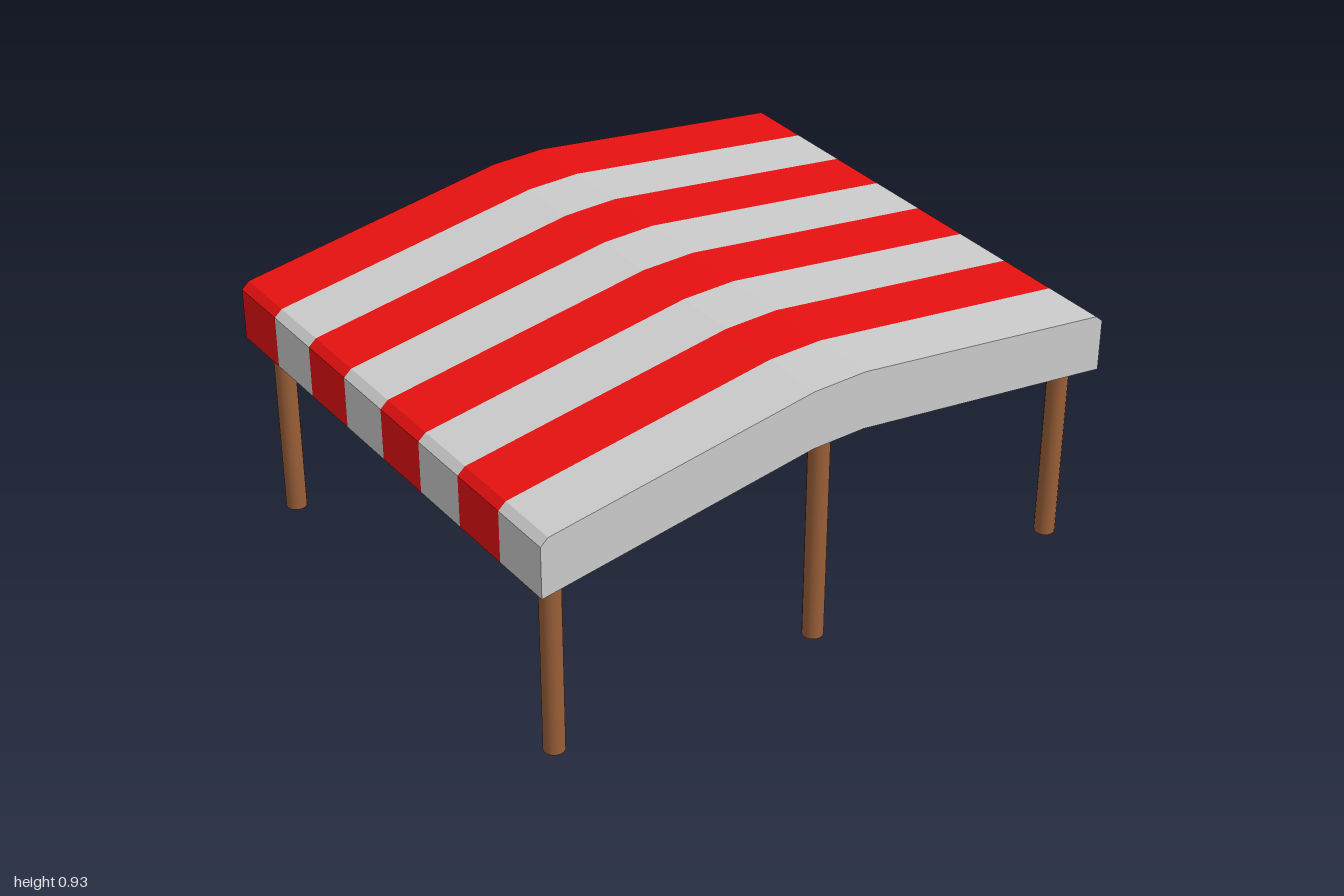
import * as THREE from 'three';

const DEPTH = 1.65, STRIPES = 8, WALL = 0.02, ROOF = 0.03;

const grey = new THREE.MeshStandardMaterial({ color: 0xcccccc });
const red = new THREE.MeshStandardMaterial({ color: 0xe81010 });
const wood = new THREE.MeshStandardMaterial({ color: 0x9a5f38 });

// Right half of the outer roof line, from the eave to the flat ridge
const roofLine = [[1, 0.775], [0.975, 0.797], [0.09, 0.925]];
const hemAt = (x) => 0.605 + (1 - x) * (0.13 / 0.91);
const ceilingAt = (x) => 0.925 - ROOF - Math.max(0, x - 0.09) * (0.128 / 0.885);

// Closes a right half-outline with its mirror image
function mirroredShape(half) {
  const left = half.map(([x, y]) => [-x, y]).reverse();
  return new THREE.Shape([...half, ...left].map(([x, y]) => new THREE.Vector2(x, y)));
}

// Roof section with hanging side walls and two inner valances beside the ridge
const stripeShape = mirroredShape([
  [0.07, ceilingAt(0)], [0.07, 0.735], [0.09, 0.735], [0.09, ceilingAt(0.09)],
  [1 - WALL, ceilingAt(1 - WALL)], [1 - WALL, hemAt(1 - WALL)], [1, hemAt(1)],
  ...roofLine,
]);

// Solid gable panel closing the front and back
const gableShape = mirroredShape([[0.09, 0.735], [1, hemAt(1)], ...roofLine]);

function slab(name, shape, z0, z1, material) {
  const geometry = new THREE.ExtrudeGeometry(shape, { depth: z1 - z0, bevelEnabled: false });
  geometry.translate(0, 0, z0);
  const mesh = new THREE.Mesh(geometry, material);
  mesh.name = name;
  return mesh;
}

export function createModel() {
  const model = new THREE.Group();
  model.name = 'stripedCanopy';

  // Striped roof, running from the red back to the grey front
  const canopy = new THREE.Group();
  canopy.name = 'canopy';
  const half = DEPTH / 2, width = DEPTH / STRIPES;
  for (let i = 0; i < STRIPES; i++) {
    const z0 = Math.max(-half + i * width, -half + WALL);
    const z1 = Math.min(-half + (i + 1) * width, half - WALL);
    canopy.add(slab('roofStripe', stripeShape, z0, z1, i % 2 ? grey : red));
  }
  canopy.add(slab('backGable', gableShape, -half, -half + WALL, red));
  canopy.add(slab('frontGable', gableShape, half - WALL, half, grey));
  model.add(canopy);

  // Six round posts reaching up to the ceiling
  for (const x of [-0.92, 0, 0.92]) {
    const height = ceilingAt(Math.abs(x)) + 0.008;
    for (const z of [-0.74, 0.74]) {
      const post = new THREE.Mesh(new THREE.CylinderGeometry(0.033, 0.033, height, 16), wood);
      post.position.set(x, height / 2, z);
      post.name = 'post';
      model.add(post);
    }
  }
  return model;
}
